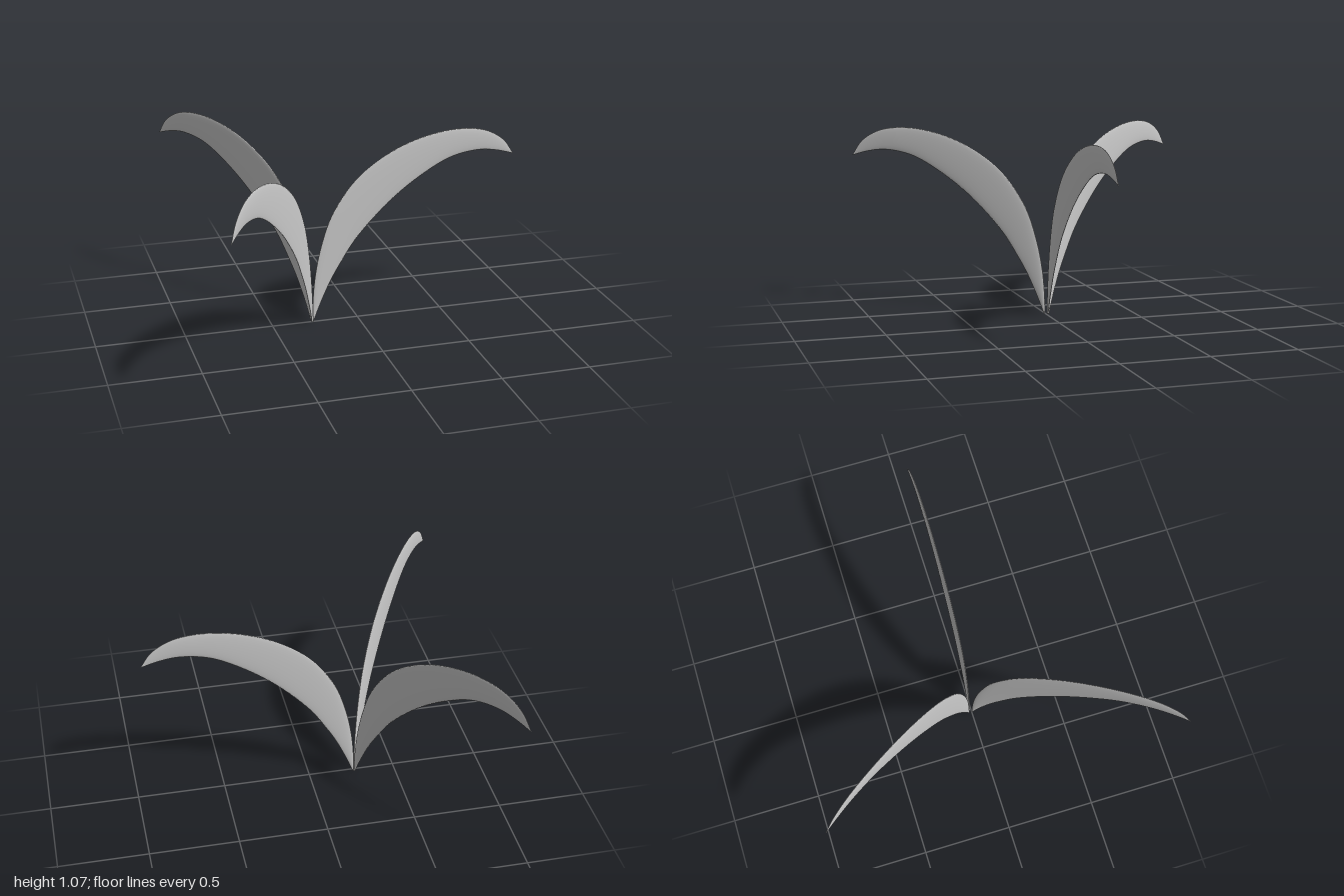
import * as THREE from 'three';

const rail = (pts) => new THREE.CatmullRomCurve3(pts.map(([x, y]) => new THREE.Vector3(x, y, 0)), false, 'centripetal');

// Paired edges of one arching blade: distance from the root, height
const upperEdge = rail([[0, 0], [0.004, 0.13], [0.018, 0.27], [0.05, 0.43], [0.12, 0.63], [0.265, 0.83],
  [0.465, 0.97], [0.665, 1.045], [0.865, 1.072], [1.025, 1.05], [1.135, 0.985], [1.195, 0.9]]);
const lowerEdge = rail([[0.008, 0], [0.035, 0.07], [0.065, 0.14], [0.11, 0.235], [0.165, 0.33], [0.265, 0.48],
  [0.465, 0.685], [0.665, 0.83], [0.825, 0.91], [0.985, 0.937], [1.095, 0.925], [1.195, 0.898]]);

// Thin lens-shaped cross-sections swept between the two edges
function bladeGeometry(rows = 64, sides = 20, halfThickness = 0.0065) {
  const pos = [], index = [];
  for (let i = 0; i <= rows; i++) {
    const t = i / rows;
    const a = lowerEdge.getPoint(t), b = upperEdge.getPoint(t);
    const thick = halfThickness * Math.min(1, 0.3 + 3 * (1 - t));
    for (let j = 0; j < sides; j++) {
      const ang = (j / sides) * Math.PI * 2;
      const p = a.clone().lerp(b, (1 - Math.cos(ang)) / 2);
      pos.push(p.x, p.y, thick * Math.sin(ang));
    }
  }
  for (let i = 0; i < rows; i++) {
    for (let j = 0; j < sides; j++) {
      const k = (j + 1) % sides;
      const p = i * sides + j, q = i * sides + k;
      index.push(p, p + sides, q, q, p + sides, q + sides);
    }
  }
  // Close the root and the tip
  for (let j = 1; j < sides - 1; j++) {
    const e = rows * sides;
    index.push(0, j, j + 1, e, e + j + 1, e + j);
  }
  // Wind the faces outward
  for (let i = 0; i < index.length; i += 3) [index[i + 1], index[i + 2]] = [index[i + 2], index[i + 1]];
  const g = new THREE.BufferGeometry();
  g.setAttribute('position', new THREE.Float32BufferAttribute(pos, 3));
  g.setIndex(index);
  g.computeVertexNormals();
  return g;
}

export function createModel() {
  const model = new THREE.Group();
  model.name = 'threeLeafPlant';
  const geometry = bladeGeometry();
  const material = new THREE.MeshStandardMaterial({ color: 0xcccccc, side: THREE.DoubleSide });
  // Name, root x, root z, heading
  const leaves = [
    ['leftLeaf', -0.263, -0.013, 0],
    ['backRightLeaf', -0.265, -0.015, Math.PI - Math.asin(0.8245)],
    ['frontRightLeaf', -0.266, 0.002, Math.asin(0.8345) - Math.PI],
  ];
  for (const [name, x, z, turn] of leaves) {
    const leaf = new THREE.Mesh(geometry, material);
    leaf.name = name;
    leaf.position.set(x, 0, z);
    leaf.rotation.y = turn;
    model.add(leaf);
  }
  return model;
}
